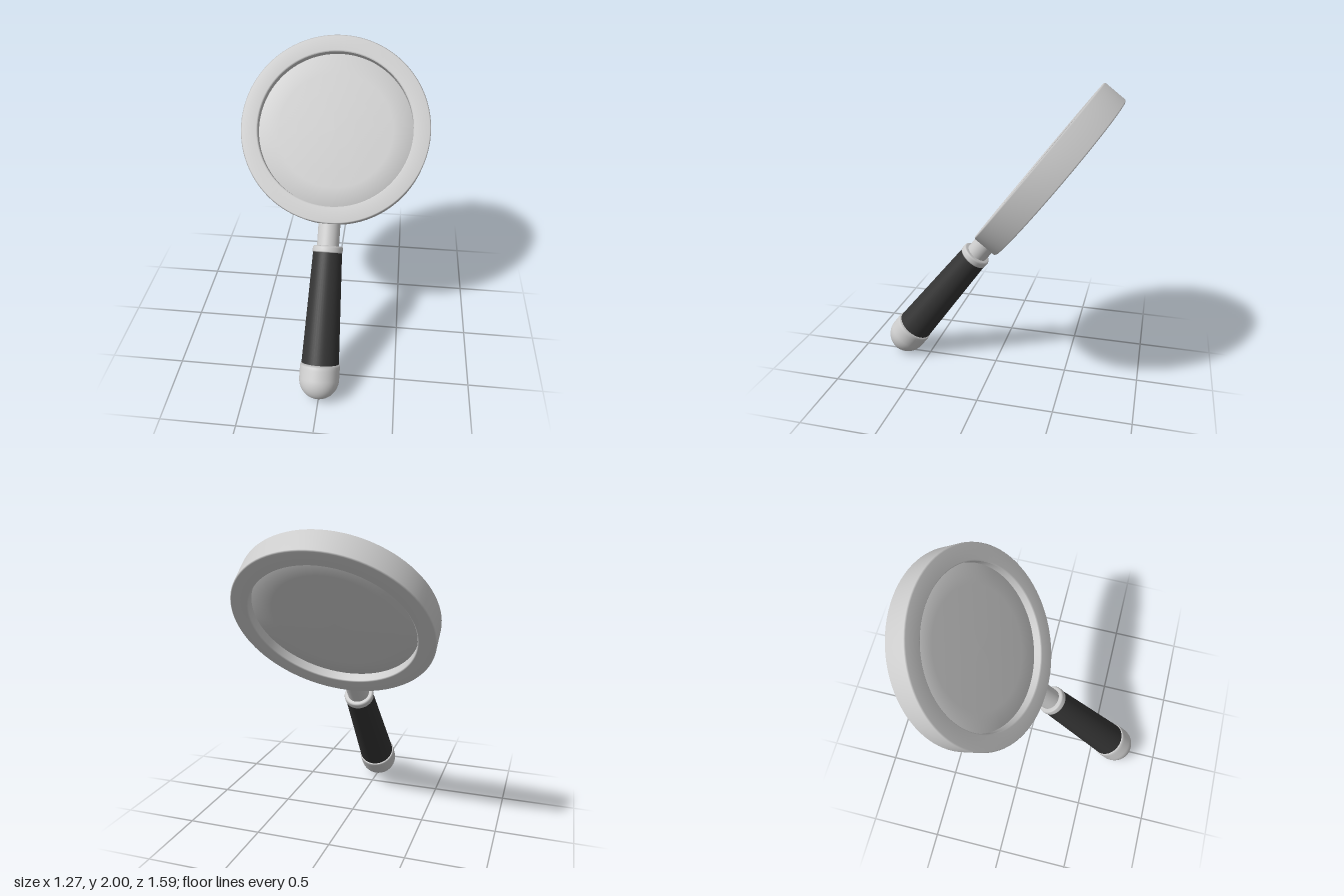
import * as THREE from 'three';

const grey = new THREE.MeshStandardMaterial({ color: 0xcccccc });
const dark = new THREE.MeshStandardMaterial({ color: 0x333333 });

// Spins [radius, height] points (listed bottom to top on the outside) about y.
function lathe(name, points, material, segments = 48) {
  const profile = points.map(([r, y]) => new THREE.Vector2(r, y));
  const mesh = new THREE.Mesh(new THREE.LatheGeometry(profile, segments), material);
  mesh.name = name;
  return mesh;
}

// Points along an arc, for domed profiles.
function arc(cx, cy, r, from, to, steps) {
  return Array.from({ length: steps + 1 }, (_, i) => {
    const a = from + ((to - from) * i) / steps;
    return [Math.max(0, cx + r * Math.cos(a)), cy + r * Math.sin(a)];
  });
}

export function createModel() {
  const model = new THREE.Group();
  model.name = 'magnifyingGlass';

  // Head: lens and rim share an axis that points to the front
  const head = new THREE.Group();
  head.name = 'head';
  head.rotation.x = Math.PI / 2;
  model.add(head);

  // Rim: rectangular band with slightly softened corners
  const R = 0.633, r = 0.52, h = 0.086, b = 0.008;
  head.add(lathe('rim', [
    [r, h - b], [r, b - h], [r + b, -h], [R - b, -h], [R, b - h],
    [R, h - b], [R - b, h], [r + b, h], [r, h - b],
  ], grey, 96));

  // Lens: disc with gently domed faces
  const e = 0.022, dome = 0.01;
  const face = [0, 0.25, 0.5, 0.75, 1].map((k) => [k * r, e + dome * (1 - k * k)]);
  head.add(lathe('lens', [
    ...face.map(([x, y]) => [x, -y]),
    ...face.slice().reverse(),
  ], grey, 96));

  // Handle parts run down the -y axis from the rim
  const stem = new THREE.Mesh(new THREE.CylinderGeometry(0.074, 0.074, 0.19, 48), grey);
  stem.name = 'stem';
  stem.position.y = -0.71;
  model.add(stem);

  model.add(lathe('collar', [
    [0, -0.822], [0.1, -0.822], [0.101, -0.815], [0.101, -0.79],
    [0.098, -0.782], [0.09, -0.777], [0, -0.777],
  ], grey));

  const grip = new THREE.Mesh(new THREE.CylinderGeometry(0.097, 0.125, 0.75, 48), dark);
  grip.name = 'grip';
  grip.position.y = -1.19;
  model.add(grip);

  // End cap: round knob with a short straight collar
  model.add(lathe('endCap', [
    ...arc(0, -1.658, 0.133, -Math.PI / 2, 0, 14),
    [0.133, -1.59], [0.132, -1.57], [0.128, -1.555], [0, -1.553],
  ], grey));

  // Lean the whole glass back and stand it on the ground
  model.rotation.x = -0.656;
  model.position.set(0, 1.449, -0.343);

  const root = new THREE.Group();
  root.add(model);
  return root;
}
